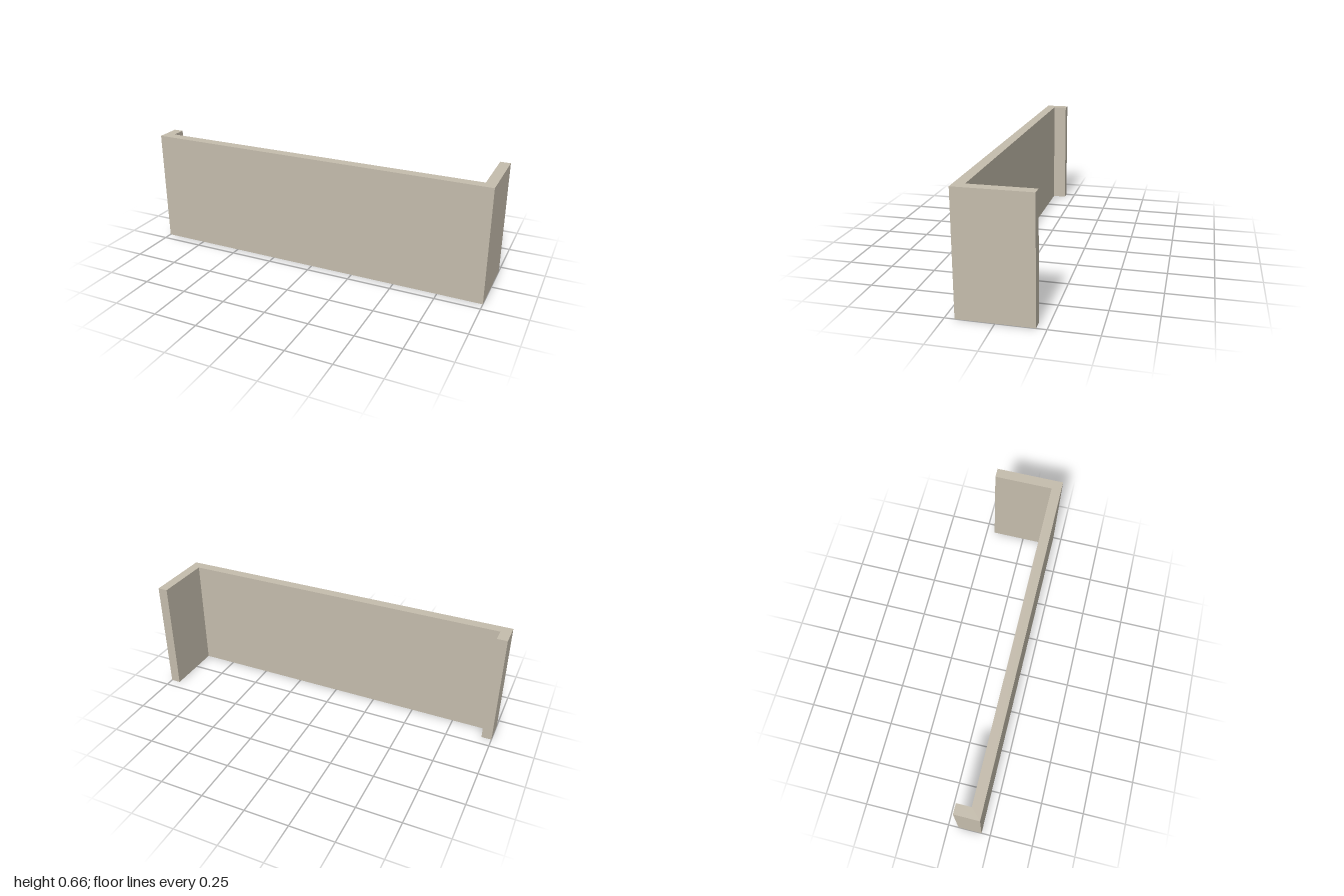
import * as THREE from 'three';

const HEIGHT = 0.656, DEPTH = 0.198, WALL = 0.057, RETURN_Z = 0.06;

export function createModel() {
  const group = new THREE.Group();
  group.name = 'wallPanel';
  const stone = new THREE.MeshStandardMaterial({ color: 0xc4bcac });
  stone.name = 'warm stone';

  // Plan outline: long front wall, deep return on the left, short one on the right (shape y = -z)
  const inner = 1 - WALL;
  const plan = new THREE.Shape([
    [-1, -DEPTH], [1, -DEPTH], [1, DEPTH], [inner, DEPTH],
    [inner, WALL - DEPTH], [-inner, WALL - DEPTH], [-inner, -RETURN_Z], [-1, -RETURN_Z],
  ].map(([x, y]) => new THREE.Vector2(x, y)));

  // Raise the plan to full height
  const geometry = new THREE.ExtrudeGeometry(plan, { depth: HEIGHT, bevelEnabled: false });
  geometry.rotateX(-Math.PI / 2);

  const wall = new THREE.Mesh(geometry, stone);
  wall.name = 'wallWithReturns';
  group.add(wall);
  return group;
}
